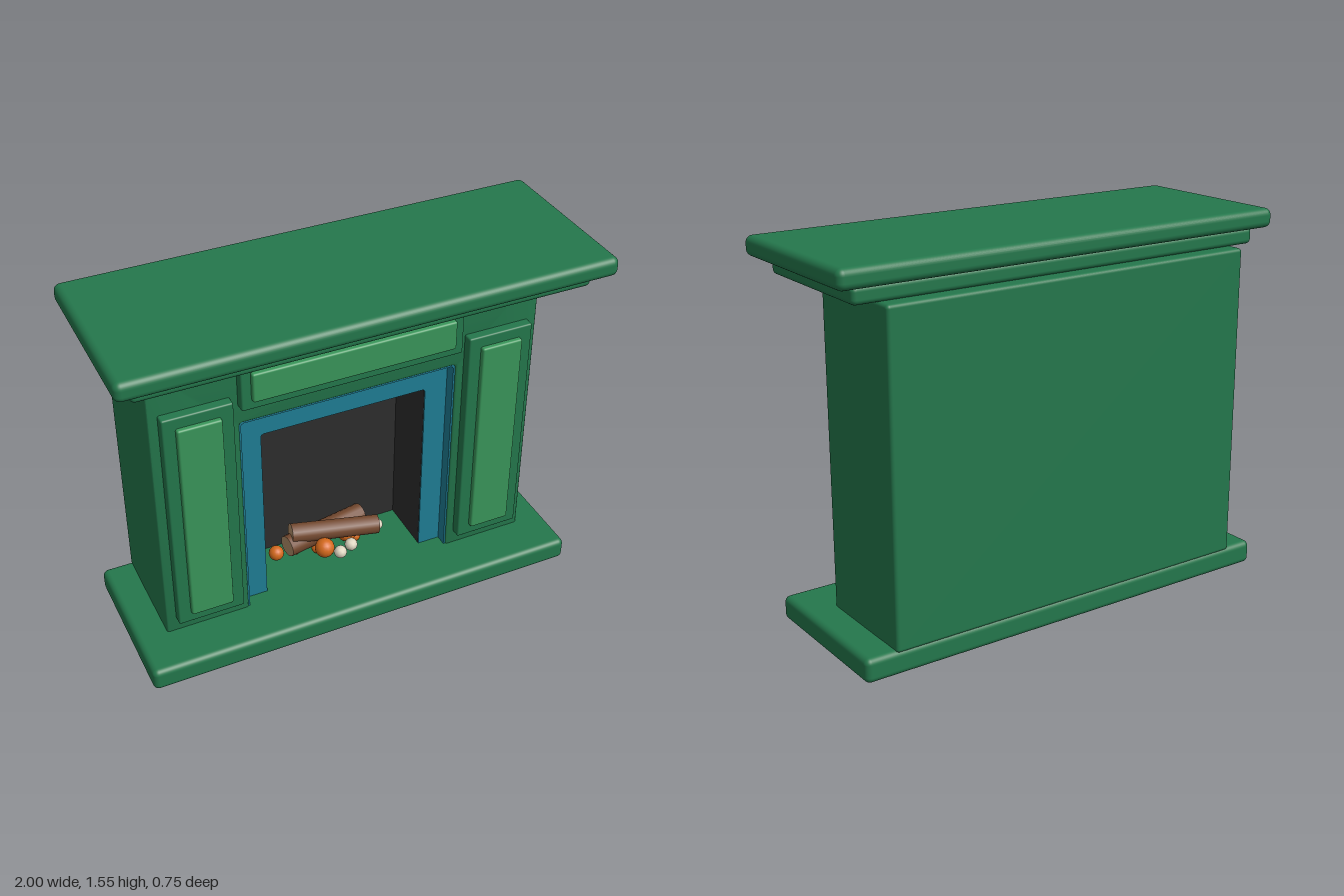
import * as THREE from 'three';
import { RoundedBoxGeometry } from 'three/addons/geometries/RoundedBoxGeometry.js';
import { toCreasedNormals } from 'three/addons/utils/BufferGeometryUtils.js';

const material = (name, color) => {
  const m = new THREE.MeshStandardMaterial({ color });
  m.name = name;
  return m;
};

export function createModel() {
  const green = material('green paint', 0x24774c);
  const lightGreen = material('light green panel', 0x39965a);
  const blue = material('blue surround', 0x1f7d94);
  const soot = material('dark firebox', 0x2d2d2d);
  const bark = material('bark', 0x74492f);
  const wood = material('cut wood', 0xb08d68);
  const ember = material('orange ember', 0xd4691c);
  const ash = material('pale ash', 0xded5c0);

  const model = new THREE.Group();
  model.name = 'fireplace';

  const add = (name, geometry, mat, parent = model) => {
    const mesh = new THREE.Mesh(geometry, mat);
    mesh.name = name;
    parent.add(mesh);
    return mesh;
  };

  // Rounded box given by its extents
  const slab = (name, x0, x1, y0, y1, z0, z1, radius, mat) => {
    const g = new RoundedBoxGeometry(x1 - x0, y1 - y0, z1 - z0, 4, radius);
    add(name, g, mat).position.set((x0 + x1) / 2, (y0 + y1) / 2, (z0 + z1) / 2);
  };

  // Upside-down U with an opening at the floor, extruded from z0 to z1
  const arch = (name, inX, inY, outX, outY, z0, z1, bevel, mat) => {
    const y = 0.09, r = 0.015;
    const s = new THREE.Shape();
    s.moveTo(inX, y);
    s.lineTo(outX, y);
    s.lineTo(outX, outY);
    s.lineTo(-outX, outY);
    s.lineTo(-outX, y);
    s.lineTo(-inX, y);
    s.lineTo(-inX, inY - r);
    s.quadraticCurveTo(-inX, inY, -inX + r, inY);
    s.lineTo(inX - r, inY);
    s.quadraticCurveTo(inX, inY, inX, inY - r);
    s.closePath();
    const g = new THREE.ExtrudeGeometry(s, {
      depth: z1 - z0 - 2 * bevel, curveSegments: 4, bevelEnabled: bevel > 0,
      bevelSize: bevel, bevelThickness: bevel, bevelOffset: -bevel, bevelSegments: 3,
    });
    add(name, toCreasedNormals(g, 0.7), mat).position.z = z0 + bevel;
  };

  // Hearth and mantel shelf
  slab('hearth', -0.955, 0.955, 0, 0.1, -0.375, 0.305, 0.025, green);
  slab('mantelMoulding', -0.927, 0.927, 1.41, 1.478, -0.32, 0.305, 0.02, green);
  slab('mantelShelf', -1, 1, 1.475, 1.555, -0.362, 0.377, 0.028, green);

  // Body: hollow front joined to a solid back
  arch('bodyFront', 0.464, 1.051, 0.825, 1.412, -0.27, 0.105, 0.012, green);
  slab('bodyBack', -0.825, 0.825, 0.09, 1.412, -0.375, -0.21, 0.015, green);

  // Blue recess: sides, then the face around the fire
  arch('surroundReveal', 0.458, 1.045, 0.466, 1.053, 0.04, 0.099, 0, blue);
  arch('surroundFace', 0.36, 0.93, 0.462, 1.049, 0.03, 0.05, 0, blue);

  // Firebox lining
  arch('fireboxLining', 0.359, 0.929, 0.42, 0.98, -0.215, 0.045, 0, soot);
  add('fireboxBack', new THREE.BoxGeometry(0.8, 0.88, 0.009), soot).position.set(0, 0.53, -0.2045);

  // Raised frames with light inset panels
  for (const [side, cx] of [['left', 0.641], ['right', -0.641]]) {
    slab(side + 'Pilaster', cx - 0.142, cx + 0.142, 0.162, 1.187, 0.08, 0.146, 0.008, green);
    slab(side + 'PilasterPanel', cx - 0.09, cx + 0.09, 0.212, 1.139, 0.13, 0.167, 0.009, lightGreen);
  }
  slab('lintelFrame', -0.468, 0.468, 1.135, 1.345, 0.08, 0.146, 0.008, green);
  slab('lintelPanel', -0.428, 0.428, 1.176, 1.303, 0.13, 0.167, 0.009, lightGreen);

  // Logs with pale cut ends
  const log = (name, a, b, radius) => {
    const from = new THREE.Vector3(...a), to = new THREE.Vector3(...b);
    const axis = to.clone().sub(from);
    const g = new THREE.CylinderGeometry(radius, radius * 1.05, axis.length(), 14);
    const mesh = add(name, g, [bark, wood, wood]);
    mesh.position.copy(from).add(to).multiplyScalar(0.5);
    mesh.quaternion.setFromUnitVectors(new THREE.Vector3(0, 1, 0), axis.normalize());
  };
  log('frontLog', [-0.185, 0.237, -0.1], [0.2, 0.2, -0.04], 0.042);
  log('backLog', [-0.21, 0.19, -0.08], [0.17, 0.19, -0.15], 0.045);

  // Embers and ash lumps: x, y, z, radius
  const embers = [
    [-0.25, 0.143, -0.11, 0.033], [-0.065, 0.185, -0.01, 0.043],
    [0.08, 0.15, -0.1, 0.042], [0.15, 0.147, -0.12, 0.034],
    [0.115, 0.125, -0.09, 0.025], [-0.07, 0.13, -0.08, 0.025], [-0.16, 0.13, -0.12, 0.03],
  ];
  for (const [x, y, z, r] of embers) {
    add('ember', new THREE.SphereGeometry(r, 16, 12), ember).position.set(x, y, z);
  }
  const lumps = [[0.005, 0.143, 0.0, 0.029], [0.065, 0.148, -0.02, 0.029], [0.23, 0.14, -0.1, 0.026]];
  for (const [x, y, z, r] of lumps) {
    add('ashLump', new THREE.IcosahedronGeometry(r, 1), ash).position.set(x, y, z);
  }

  return model;
}
